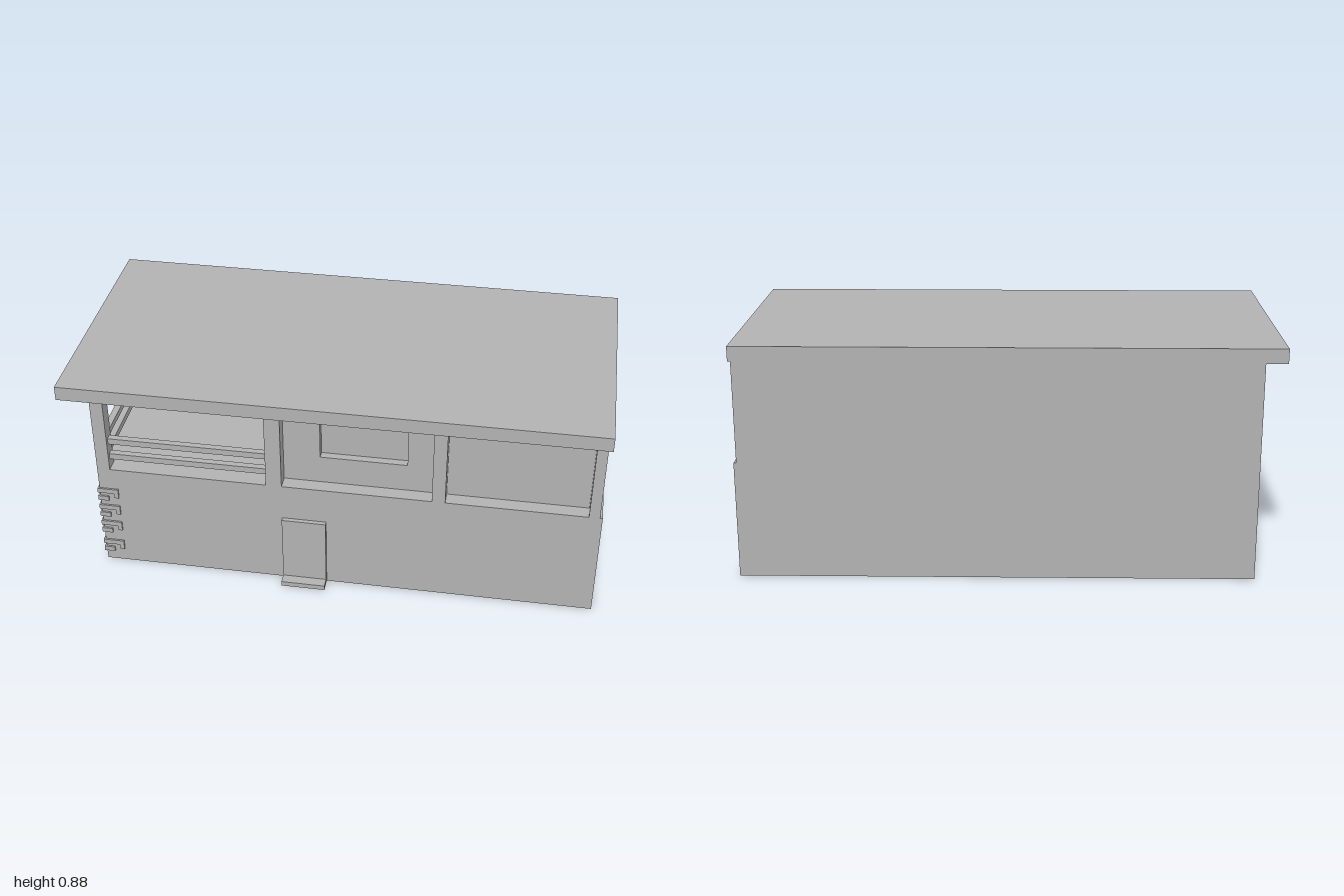
import * as THREE from 'three';

export function createModel() {
  const model = new THREE.Group();
  model.name = 'building';
  const plaster = new THREE.MeshStandardMaterial({ color: 0xb2b2b2, side: THREE.DoubleSide });
  plaster.name = 'grey plaster';

  // Solid block given by its limits on each axis
  function block(name, x0, x1, y0, y1, z0, z1) {
    const mesh = new THREE.Mesh(new THREE.BoxGeometry(x1 - x0, y1 - y0, z1 - z0), plaster);
    mesh.position.set((x0 + x1) / 2, (y0 + y1) / 2, (z0 + z1) / 2);
    mesh.name = name;
    model.add(mesh);
  }

  // Thin upright sheet from a to b, with rectangular holes [a0, a1, y0, y1].
  // axis 'z' lies at constant z and runs along x; axis 'x' lies at constant x and runs along z.
  function sheet(name, axis, at, a, b, y0, y1, holes = []) {
    const outline = (p, q, r, s) => [[p, r], [q, r], [q, s], [p, s]].map(v => new THREE.Vector2(...v));
    const shape = new THREE.Shape(outline(a, b, y0, y1));
    for (const h of holes) shape.holes.push(new THREE.Path(outline(...h).reverse()));
    const mesh = new THREE.Mesh(new THREE.ShapeGeometry(shape), plaster);
    if (axis === 'x') {
      mesh.rotation.y = -Math.PI / 2;
      mesh.position.x = at;
    } else {
      mesh.position.z = at;
    }
    mesh.name = name;
    model.add(mesh);
  }

  // Thin level sheet
  function deck(name, x0, x1, z0, z1, y) {
    const geo = new THREE.PlaneGeometry(x1 - x0, z1 - z0).rotateX(-Math.PI / 2);
    const mesh = new THREE.Mesh(geo, plaster);
    mesh.position.set((x0 + x1) / 2, y, (z0 + z1) / 2);
    mesh.name = name;
    model.add(mesh);
  }

  const L = -0.92, R = 1, F = 0.37, B = -0.48;   // outer walls
  const sill = 0.445, eave = 0.83;
  const panelZ = 0.315, panelX = 0.95, balconyX = -0.26, balconyZ = -0.08;

  // Roof slab
  block('roof', -1, 1, eave, 0.885, -0.483, 0.483);

  // Outer walls, open underneath
  sheet('frontWall', 'z', F, L, R, 0, sill);
  sheet('rightEndWall', 'x', R, B, F, 0, sill);
  sheet('backWall', 'z', B, L, R, 0, sill);
  sheet('upperBackWall', 'z', B, L, 0.99, sill, eave);
  sheet('balconyEndWall', 'x', L, B, F, 0, eave, [[balconyZ, panelZ, sill, eave - 0.005]]);

  // Balcony floor and sill ledges
  deck('balconyFloor', L, balconyX, balconyZ, F, sill);
  deck('frontLedge', balconyX, R, panelZ, F, sill);
  deck('endLedge', panelX, R, B, panelZ, sill);

  // Recessed upper walls with window openings
  const frontWindow = [-0.06, 0.27, 0.56, 0.765];
  const endWindow = [-0.175, 0.03, 0.555, 0.76];
  sheet('upperFrontWall', 'z', panelZ, balconyX, panelX, sill, eave, [frontWindow]);
  sheet('upperEndWall', 'x', panelX, B, panelZ, sill, eave, [endWindow]);
  sheet('balconySideWall', 'x', balconyX, balconyZ, panelZ, sill, eave);
  sheet('balconyBackWall', 'z', balconyZ, L, balconyX, sill, eave);

  // Window reveals and panes
  const depth = 0.03;
  {
    const [a, b, y0, y1] = frontWindow;
    sheet('frontWindowPane', 'z', panelZ - depth, a, b, y0, y1);
    for (const x of [a, b]) sheet('frontWindowJamb', 'x', x, panelZ - depth, panelZ, y0, y1);
    for (const y of [y0, y1]) deck('frontWindowSill', a, b, panelZ - depth, panelZ, y);
  }
  {
    const [a, b, y0, y1] = endWindow;
    sheet('endWindowPane', 'x', panelX - depth, a, b, y0, y1);
    for (const z of [a, b]) sheet('endWindowJamb', 'z', z, panelX - depth, panelX, y0, y1);
    for (const y of [y0, y1]) deck('endWindowSill', panelX - depth, panelX, a, b, y);
  }

  // Posts
  for (const [x0, x1] of [[L, -0.87], [balconyX, -0.2], [0.37, 0.42], [0.95, 0.99]])
    block('frontPost', x0, x1, sill, eave, panelZ, F);
  block('backPost', 0.95, 0.99, sill, eave, B, -0.43);

  // Balcony rails on the front and the end
  for (const [y0, y1] of [[0.485, 0.51], [0.555, 0.58]]) {
    block('frontRail', -0.87, balconyX, y0, y1, 0.33, 0.355);
    block('endRail', -0.907, -0.882, y0, y1, balconyZ, panelZ);
  }

  // Door and doorstep
  block('door', -0.2, -0.03, 0, 0.295, F, 0.387);
  block('doorstep', -0.2, -0.03, 0, 0.02, F, 0.427);

  // Raised hooked trims wrapping the front corner
  const t = 0.007;
  for (const y of [0.325, 0.245, 0.165, 0.07]) {
    block('cornerTrimFront', L - t, -0.845, y + 0.008, y + 0.028, F, F + t);
    block('cornerTrimFront', L - t, -0.885, y - 0.028, y - 0.008, F, F + t);
    block('cornerTrimHook', -0.862, -0.845, y - 0.012, y + 0.008, F, F + t);
    block('cornerTrimEnd', L - t, L, y + 0.008, y + 0.028, 0.3, F);
    block('cornerTrimEnd', L - t, L, y - 0.028, y - 0.008, 0.335, F);
  }

  return model;
}
